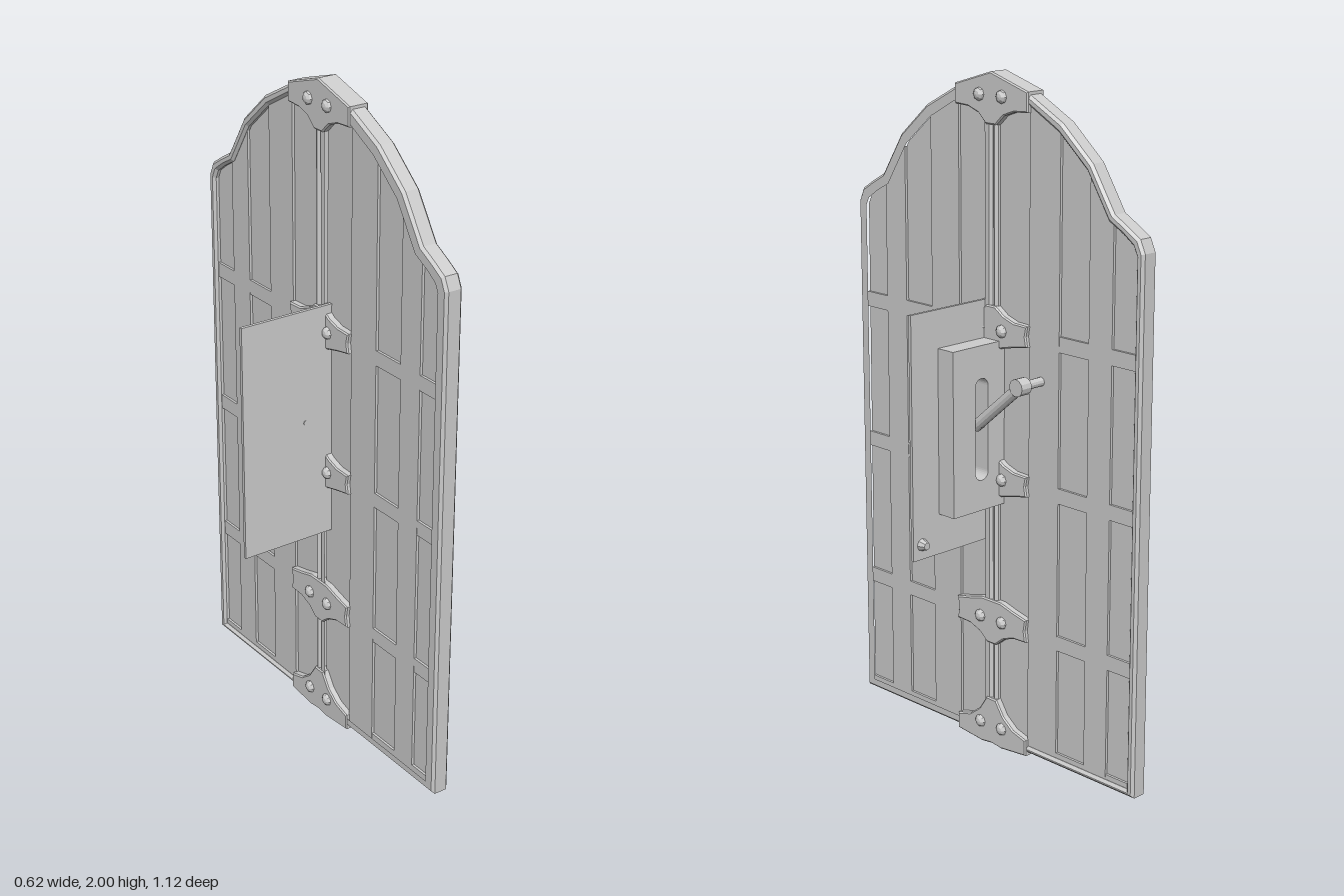
import * as THREE from 'three';

const material = new THREE.MeshStandardMaterial({ color: 0xcccccc, flatShading: true });

function add(parent, name, geometry, x = 0, y = 0, z = 0) {
  const mesh = new THREE.Mesh(geometry, material);
  mesh.name = name;
  mesh.position.set(x, y, z);
  parent.add(mesh);
  return mesh;
}

const shapeOf = (points) => new THREE.Shape(points.map(([a, b]) => new THREE.Vector2(a, b)));

// Extrude a (z, y) outline across x, centred on x = 0, with an optional chamfer
function slab(shape, thickness, bevel = 0) {
  const depth = thickness - 2 * bevel;
  const geometry = new THREE.ExtrudeGeometry(shape, {
    depth, bevelEnabled: bevel > 0, bevelThickness: bevel, bevelSize: bevel,
    bevelOffset: -bevel, bevelSegments: 1, curveSegments: 6,
  });
  return geometry.translate(0, 0, -depth / 2).rotateY(-Math.PI / 2);
}

// Upper edge of one leaf as (z, y), from the centre to the outer side
const arch = [[0.002, 1.985], [0.14, 1.95], [0.265, 1.885], [0.375, 1.79], [0.455, 1.665],
  [0.5, 1.64], [0.545, 1.612], [0.562, 1.575]];
const innerArch = [[0.019, 1.955], [0.135, 1.922], [0.25, 1.86], [0.355, 1.77], [0.435, 1.645],
  [0.485, 1.618], [0.522, 1.592], [0.535, 1.565]];

function archHeight(z) {
  for (let i = 1; i < innerArch.length; i++) {
    const [z0, y0] = innerArch[i - 1], [z1, y1] = innerArch[i];
    if (z <= z1) return y0 + (y1 - y0) * (z - z0) / (z1 - z0);
  }
  return innerArch.at(-1)[1];
}

function createLeaf(side) {
  const leaf = new THREE.Group();
  leaf.name = side > 0 ? 'frontLeaf' : 'backLeaf';
  const flip = (points) => points.map(([z, y]) => [z * side, y]);

  // Chamfered rim around the leaf
  const rim = shapeOf(flip([[0.002, 0.02], ...arch, [0.562, 0.02]]));
  rim.holes.push(new THREE.Path(
    flip([[0.019, 0.04], ...innerArch, [0.535, 0.04]]).map(([z, y]) => new THREE.Vector2(z, y))));
  add(leaf, 'rim', slab(rim, 0.056, 0.008));

  // Recessed panel
  add(leaf, 'panel', slab(shapeOf(flip([[0.01, 0.03], ...innerArch, [0.545, 0.03]])), 0.022));

  // Raised upright boards, cut to the arch
  for (const [z0, z1] of [[0.14, 0.255], [0.365, 0.45]]) {
    const between = innerArch.filter(([z]) => z > z0 && z < z1);
    const board = [[z0, 0.035], [z0, archHeight(z0)], ...between, [z1, archHeight(z1)], [z1, 0.035]];
    add(leaf, 'board', slab(shapeOf(flip(board)), 0.038));
  }

  // Cross rails
  for (const [y, h] of [[0.045, 0.02], [0.397, 0.045], [0.84, 0.045], [1.277, 0.045]]) {
    add(leaf, 'rail', new THREE.BoxGeometry(0.037, h, 0.52), 0, y, side * 0.28);
  }
  return leaf;
}

// Strap: half outline on the +z side, from top centre to bottom centre
function createStrap(y, half) {
  const strap = new THREE.Group();
  strap.name = 'strap';
  strap.position.y = y;
  const mirrored = half.filter(([z]) => z > 0).reverse().map(([z, h]) => [-z, h]);
  add(strap, 'strapPlate', slab(shapeOf([...half, ...mirrored]), 0.064, 0.004));
  for (const x of [-1, 1]) for (const z of [-0.044, 0.044]) {
    const rivet = new THREE.SphereGeometry(0.02, 8, 3, 0, Math.PI * 2, 0, Math.PI / 2);
    rivet.scale(1, 0.8, 1).rotateZ(-x * Math.PI / 2);
    add(strap, 'rivet', rivet, x * 0.03, 0, z);
  }
  return strap;
}

function createLock() {
  const lock = new THREE.Group();
  lock.name = 'lock';
  add(lock, 'backPlate', new THREE.BoxGeometry(0.62, 0.715, 0.01), 0, 1.003, 0.032);

  // Lock case with two rounded upright slots
  const face = shapeOf([[-0.21, 0.765], [0.21, 0.765], [0.21, 1.25], [-0.21, 1.25]]);
  for (const x of [-0.1, 0.1]) {
    const slot = new THREE.Path();
    slot.absarc(x, 1.13, 0.025, 0, Math.PI, false);
    slot.absarc(x, 0.88, 0.025, Math.PI, Math.PI * 2, false);
    slot.closePath();
    face.holes.push(slot);
  }
  const caseGeometry = new THREE.ExtrudeGeometry(face, { depth: 0.062, bevelEnabled: false, curveSegments: 8 });
  add(lock, 'lockCase', caseGeometry, 0, 0, -0.034);

  // Corner bolts
  for (const [x, y] of [[-0.277, 1.32], [-0.277, 0.69], [0.277, 0.69]]) {
    const bolt = new THREE.CylinderGeometry(0.011, 0.019, 0.022, 8).rotateX(-Math.PI / 2);
    add(lock, 'bolt', bolt, x, y, 0.017);
  }

  // Levers, pivots and the grip joining them
  const start = new THREE.Vector3(0, 1.01, -0.01), end = new THREE.Vector3(0, 1.16, -0.187);
  const run = end.clone().sub(start);
  for (const x of [-0.1, 0.1]) {
    const lever = add(lock, 'lever', new THREE.CylinderGeometry(0.017, 0.017, run.length(), 12));
    lever.position.copy(start).add(end).multiplyScalar(0.5).setX(x);
    lever.quaternion.setFromUnitVectors(new THREE.Vector3(0, 1, 0), run.clone().normalize());
    add(lock, 'pivot', new THREE.CylinderGeometry(0.008, 0.008, 0.078, 8).rotateX(Math.PI / 2), x, 1.018, 0);
    add(lock, 'knob', new THREE.CylinderGeometry(0.025, 0.025, 0.038, 12).rotateZ(Math.PI / 2), x, end.y, end.z);
  }
  add(lock, 'grip', new THREE.CylinderGeometry(0.013, 0.013, 0.2, 12).rotateZ(Math.PI / 2), 0, end.y, end.z);
  return lock;
}

export function createModel() {
  const model = new THREE.Group();
  model.name = 'door';
  model.add(createLeaf(1), createLeaf(-1));

  // Straps across both leaves
  const middle = [[0, 0.067], [0.018, 0.067], [0.05, 0.045], [0.09, 0.032], [0.143, 0.03],
    [0.137, 0], [0.143, -0.03], [0.09, -0.04], [0.04, -0.052], [0, -0.052]];
  const lower = middle.map(([z, h]) => [z, -h * 1.15]).reverse();
  const crown = [[0, 0.065], [0.143, 0.022], [0.143, -0.035], [0.09, -0.038], [0.05, -0.052],
    [0.02, -0.08], [0, -0.08]];
  const foot = [[0, 0.085], [0.02, 0.085], [0.05, 0.04], [0.09, 0.01], [0.143, -0.005],
    [0.143, -0.055], [0.04, -0.065], [0, -0.06]];
  model.add(createStrap(1.935, crown), createStrap(1.28, middle), createStrap(0.842, middle),
    createStrap(0.403, lower), createStrap(0.065, foot));

  model.add(createLock());
  return model;
}
